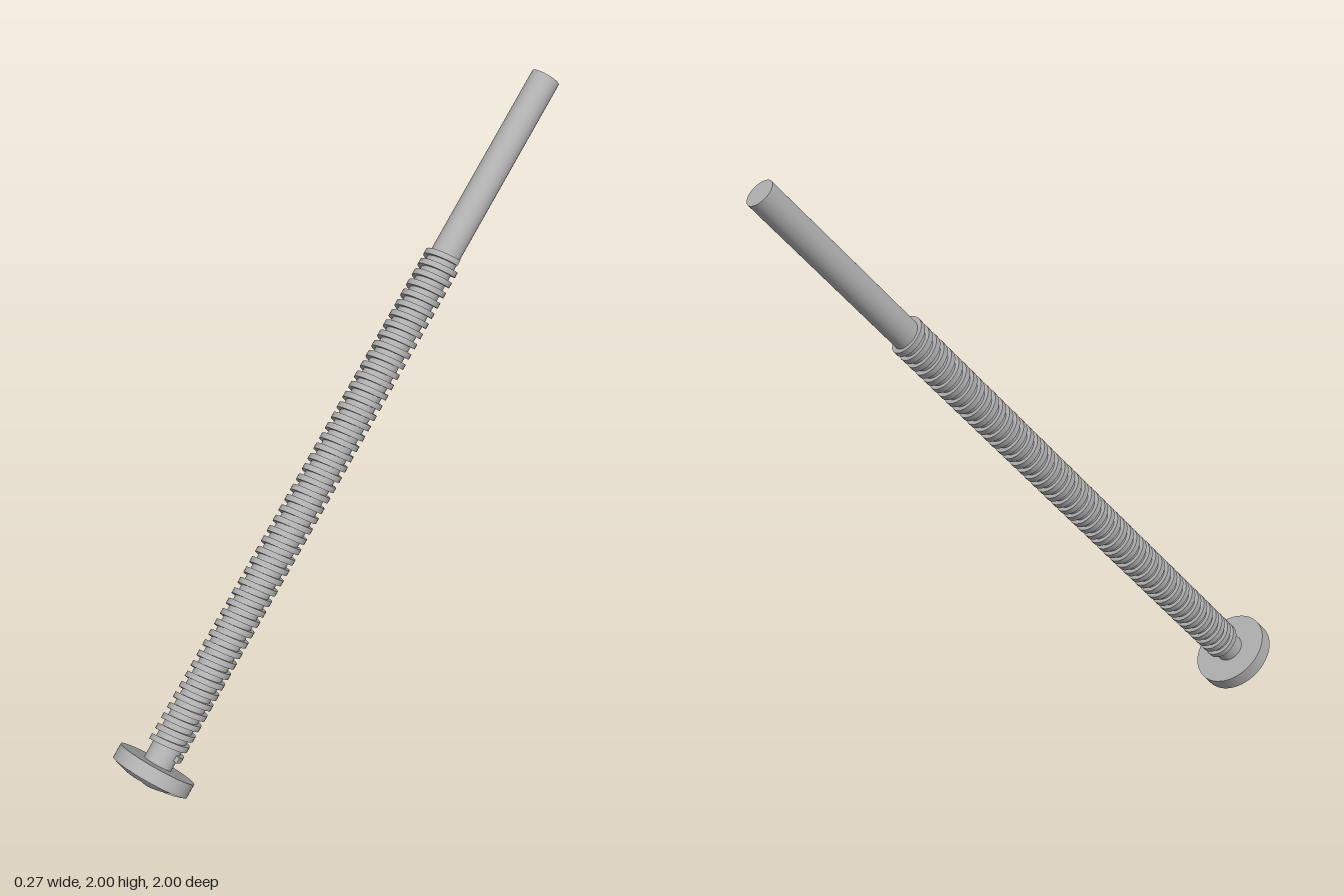
import * as THREE from 'three';
import { mergeGeometries } from 'three/addons/utils/BufferGeometryUtils.js';

// Sizes, measured along the screw's own axis (local +y runs from head to tip)
const HEAD_R = 0.137, HEAD_T = 0.05, DOME_H = 0.0275;
const SLOT = 0.038, CROSS = 0.083;
const ROD_R = 0.05, LENGTH = 2.642;
const THREAD_R = 0.065, THREAD_START = 0.085, THREAD_END = 1.965, TURNS = 48;

// Grid surface from f(u, v) -> [x, y, z]; it faces along dU x dV
function patch(nu, nv, f) {
  const pos = [], idx = [];
  for (let i = 0; i <= nu; i++)
    for (let j = 0; j <= nv; j++) pos.push(...f(i / nu, j / nv));
  for (let i = 0; i < nu; i++)
    for (let j = 0; j < nv; j++) {
      const a = i * (nv + 1) + j, b = a + nv + 1;
      idx.push(a, b, b + 1, a, b + 1, a + 1);
    }
  const g = new THREE.BufferGeometry();
  g.setAttribute('position', new THREE.Float32BufferAttribute(pos, 3));
  g.setIndex(idx);
  g.computeVertexNormals();
  return g;
}

const mix = THREE.MathUtils.lerp;
const domeY = (x, z) => -DOME_H * Math.max(0, 1 - (x * x + z * z) / (HEAD_R * HEAD_R));
const rimZ = (x) => Math.sqrt(Math.max(0, HEAD_R * HEAD_R - x * x));

// One half of the shallow dome, cut by the long slot and the short cross slot
function domeHalf() {
  const xEnd = rimZ(SLOT);
  const parts = [];
  for (const [x0, x1, z0] of [[-xEnd, -SLOT, SLOT], [-SLOT, SLOT, CROSS], [SLOT, xEnd, SLOT]]) {
    // domed face
    parts.push(patch(16, 8, (u, v) => {
      const x = mix(x0, x1, u), z = mix(z0, rimZ(x), v);
      return [x, domeY(x, z), z];
    }));
    // slot wall
    parts.push(patch(1, 16, (u, v) => {
      const x = mix(x0, x1, v);
      return [x, mix(domeY(x, z0), 0, u), z0];
    }));
  }
  // side walls of the cross slot
  const side = (x, t, h) => {
    const z = mix(SLOT, CROSS, t);
    return [x, mix(domeY(x, z), 0, h), z];
  };
  parts.push(patch(6, 1, (u, v) => side(SLOT, u, v)));
  parts.push(patch(1, 6, (u, v) => side(-SLOT, v, u)));
  return mergeGeometries(parts);
}

// Square-edged helical thread
function threadGeometry() {
  const pitch = (THREAD_END - THREAD_START) / TURNS, width = pitch * 0.5;
  const rIn = ROD_R - 0.002, n = TURNS * 28;
  const point = (t, r, h) => {
    const a = t * TURNS * Math.PI * 2;
    const y = mix(THREAD_START, THREAD_END - width, t) + h * width;
    return [r * Math.cos(a), y, -r * Math.sin(a)];
  };
  return mergeGeometries([
    patch(n, 1, (u, v) => point(u, THREAD_R, v)),                 // crest
    patch(n, 1, (u, v) => point(u, mix(THREAD_R, rIn, v), 1)),    // upper flank
    patch(n, 1, (u, v) => point(u, mix(rIn, THREAD_R, v), 0)),    // lower flank
    patch(1, 1, (u, v) => point(0, mix(rIn, THREAD_R, u), v)),    // start
    patch(1, 1, (u, v) => point(1, mix(rIn, THREAD_R, v), u)),    // end
  ]);
}

export function createModel() {
  const steel = new THREE.MeshStandardMaterial({ color: 0xb0b0b0 });
  steel.name = 'steel';

  const screw = new THREE.Group();
  screw.name = 'screw';
  const add = (name, geometry, y = 0) => {
    const mesh = new THREE.Mesh(geometry, steel);
    mesh.name = name;
    mesh.position.y = y;
    screw.add(mesh);
    return mesh;
  };

  // Head: flat disc whose front forms the slot floor, with two dome halves
  add('headDisc', new THREE.CylinderGeometry(HEAD_R, HEAD_R, HEAD_T, 64), HEAD_T / 2);
  const half = domeHalf();
  add('headDomeUpper', half);
  add('headDomeLower', half).rotation.y = Math.PI;

  // Shaft and thread
  const rodLength = LENGTH - HEAD_T / 2;
  add('shaft', new THREE.CylinderGeometry(ROD_R, ROD_R, rodLength, 48), LENGTH - rodLength / 2);
  add('thread', threadGeometry());

  // Lean the screw back at 45 degrees, head low at the front
  screw.rotation.x = -Math.PI / 4;
  screw.position.set(0, 0.097, 0.903);

  const model = new THREE.Group();
  model.name = 'machineScrew';
  model.add(screw);
  return model;
}
